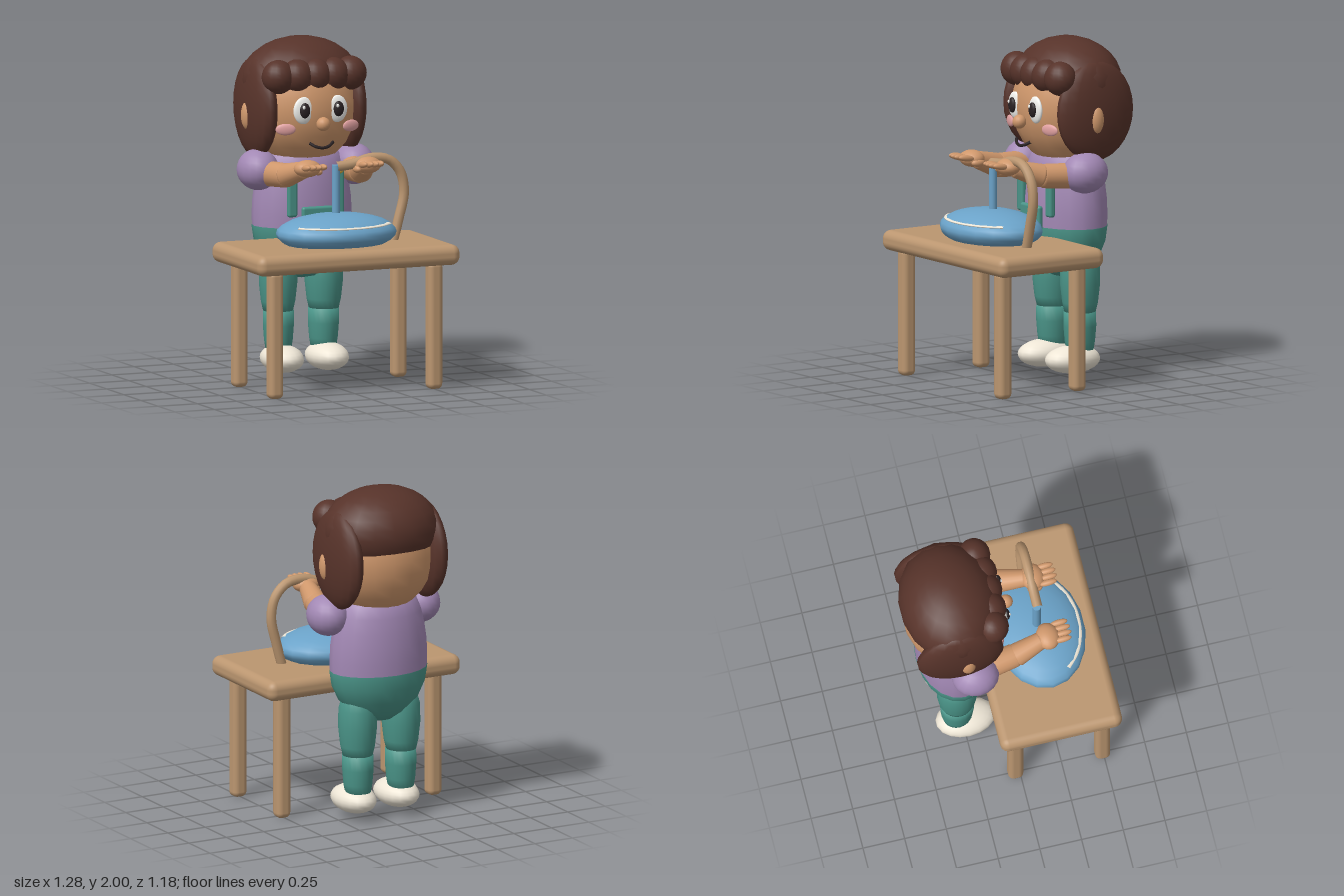
import * as THREE from 'three';
import { RoundedBoxGeometry } from 'three/addons/geometries/RoundedBoxGeometry.js';

const mat = (color, side = THREE.FrontSide) => new THREE.MeshStandardMaterial({ color, side });
const V = (x, y, z) => new THREE.Vector3(x, y, z);
const skin = mat(0xd0986c), hair = mat(0x57332a), shirt = mat(0xa288b4), trousers = mat(0x4a9488);
const blue = mat(0x6ba3c9), wood = mat(0xbb9670), cream = mat(0xeee6d6), white = mat(0xf2f2ee);
const dark = mat(0x2a2224), pink = mat(0xe0a0a0), gold = mat(0xd8b048);

export function createModel() {
  const root = new THREE.Group();
  root.name = 'childAtTable';

  const add = (name, geometry, material, pos = [0, 0, 0], parent = root) => {
    const m = new THREE.Mesh(geometry, material);
    m.name = name;
    m.position.set(...pos);
    parent.add(m);
    return m;
  };
  const ball = (name, material, pos, radii, parent) => {
    const m = add(name, new THREE.SphereGeometry(1, 18, 14), material, pos, parent);
    m.scale.set(...radii);
    return m;
  };
  const lathe = (name, material, points, pos, scale, parent) => {
    const g = new THREE.LatheGeometry(points.map(p => new THREE.Vector2(...p)), 20);
    const m = add(name, g, material, pos, parent);
    m.scale.set(...scale);
    return m;
  };
  const tube = (name, material, points, radius, parent) =>
    add(name, new THREE.TubeGeometry(new THREE.CatmullRomCurve3(points.map(p => V(...p))), 28, radius, 10),
      material, [0, 0, 0], parent);
  // Tapered limb whose rounded ends sit at points a and b
  const limb = (name, material, a, b, ra, rb, parent) => {
    const A = V(...a), dir = V(...b).sub(A), len = dir.length(), pts = [];
    for (let i = 0; i <= 4; i++) {
      const t = i / 4 * Math.PI / 2;
      pts.push([ra * Math.sin(t), -ra * 0.5 * Math.cos(t)]);
    }
    for (let i = 0; i <= 4; i++) {
      const t = i / 4 * Math.PI / 2;
      pts.push([rb * Math.cos(t), len + rb * 0.5 * Math.sin(t)]);
    }
    const m = lathe(name, material, pts, a, [1, 1, 1], parent);
    m.quaternion.setFromUnitVectors(V(0, 1, 0), dir.normalize());
    return m;
  };

  // Table
  add('tableTop', new RoundedBoxGeometry(1.285, 0.12, 0.73, 4, 0.05), wood, [0, 0.79, 0.225]);
  for (const x of [-0.505, 0.505])
    for (const z of [-0.028, 0.493])
      add('tableLeg', new RoundedBoxGeometry(0.09, 0.75, 0.09, 3, 0.032), wood, [x, 0.375, z]);

  // Blue cushion with its post, curved handle and pale trim
  ball('cushion', blue, [-0.003, 0.915, 0.235], [0.366, 0.115, 0.27]);
  add('post', new THREE.CylinderGeometry(0.024, 0.024, 0.36, 14), blue, [0, 1.13, 0.225]);
  tube('curvedHandle', wood, [[0.36, 0.84, 0.23], [0.395, 0.97, 0.23], [0.43, 1.13, 0.23],
    [0.405, 1.25, 0.23], [0.33, 1.325, 0.23], [0.22, 1.34, 0.23], [0.1, 1.31, 0.23], [0, 1.3, 0.23]], 0.029);
  const trim = tube('cushionTrim', cream, [[-0.28, 0, 0.335], [-0.2, 0, 0.405], [-0.1, 0, 0.447],
    [0, 0, 0.458], [0.1, 0, 0.447], [0.2, 0, 0.405], [0.28, 0, 0.335]], 0.025);
  trim.scale.y = 0.3;
  trim.position.y = 0.965;

  // Torso and clothing
  const body = new THREE.Group();
  body.name = 'body';
  root.add(body);
  lathe('shirt', shirt, [[0.3, 0.88], [0.303, 0.97], [0.298, 1.06], [0.285, 1.15], [0.265, 1.24],
    [0.235, 1.31], [0.17, 1.36], [0, 1.39]], [0, 0, -0.278], [1, 1, 0.735], body);
  lathe('trouserSeat', trousers, [[0, 0.58], [0.1, 0.597], [0.18, 0.645], [0.25, 0.725],
    [0.29, 0.81], [0.304, 0.9], [0.29, 0.905], [0, 0.905]], [0, 0, -0.278], [1, 1, 0.735], body);
  add('bib', new RoundedBoxGeometry(0.2, 0.14, 0.035, 3, 0.015), trousers, [0, 0.96, -0.045], body);

  // Head
  const head = new THREE.Group();
  head.name = 'head';
  root.add(head);
  ball('face', skin, [0, 1.6, -0.28], [0.34, 0.36, 0.3], head);
  ball('nose', skin, [0, 1.525, 0.04], [0.041, 0.041, 0.041], head);
  tube('mouth', dark, [[-0.075, 1.413, 0.01], [-0.04, 1.392, 0.03], [0, 1.385, 0.037],
    [0.04, 1.392, 0.03], [0.075, 1.413, 0.01]], 0.009, head);
  ball('hairCap', hair, [0, 1.75, -0.302], [0.36, 0.25, 0.293], head);
  for (let i = -2; i <= 2; i++)
    ball('fringeCurl', hair, [i * 0.114, 1.797, -0.078 - 0.004 * i * i], [0.098, 0.1, 0.094], head);

  // Paired parts
  for (const s of [-1, 1]) {
    const side = s > 0 ? 'left' : 'right';

    ball(side + 'HairLock', hair, [s * 0.282, 1.595, -0.302], [0.088, 0.295, 0.26], head);
    ball(side + 'Ear', skin, [s * 0.345, 1.557, -0.27], [0.04, 0.087, 0.046], head);
    ball(side + 'Eye', white, [s * 0.107, 1.605, -0.003], [0.064, 0.08, 0.022], head);
    ball(side + 'Pupil', dark, [s * 0.107, 1.607, 0.019], [0.032, 0.045, 0.018], head);
    ball(side + 'EyeGlint', white, [s * 0.107 - 0.012, 1.627, 0.034], [0.009, 0.011, 0.006], head);
    ball(side + 'Cheek', pink, [s * 0.207, 1.495, -0.035], [0.06, 0.034, 0.014], head).rotation.y = s * 0.3;

    add(side + 'Strap', new RoundedBoxGeometry(0.06, 0.29, 0.04, 3, 0.015), trousers, [s * 0.148, 1.115, -0.077], body);
    ball(side + 'Button', gold, [s * 0.148, 1.235, -0.052], [0.021, 0.021, 0.014], body);

    // Arm reaching forward over the cushion
    const arm = new THREE.Group();
    arm.name = side + 'Arm';
    root.add(arm);
    ball('sleeve', shirt, [s * 0.305, 1.242, -0.217], [0.121, 0.121, 0.14], arm);
    limb('upperArm', skin, [s * 0.265, 1.225, -0.15], [s * 0.235, 1.235, 0.03], 0.075, 0.071, arm);
    limb('forearm', skin, [s * 0.235, 1.24, 0.05], [s * 0.2, 1.287, 0.2], 0.07, 0.052, arm);
    ball('palm', skin, [s * 0.19, 1.302, 0.245], [0.082, 0.05, 0.07], arm);
    ball('thumb', skin, [s * 0.125, 1.283, 0.245], [0.025, 0.024, 0.045], arm);
    for (let i = 0; i < 4; i++)
      ball('finger', skin, [s * (0.128 + i * 0.035), 1.317, 0.325 + (i === 1 || i === 2 ? 0.008 : 0)],
        [0.019, 0.019, 0.053], arm).rotation.x = -0.15;

    // Leg and shoe
    const leg = new THREE.Group();
    leg.name = side + 'Leg';
    root.add(leg);
    lathe('thigh', trousers, [[0, 0.37], [0.085, 0.385], [0.1, 0.45], [0.112, 0.56], [0.11, 0.67],
      [0.085, 0.76], [0, 0.8]], [s * 0.145, 0, -0.288], [1, 1, 1.07], leg);
    lathe('shin', trousers, [[0, 0.12], [0.07, 0.14], [0.083, 0.22], [0.09, 0.31], [0.089, 0.395],
      [0, 0.42]], [s * 0.143, 0, -0.288], [1, 1, 1.1], leg);
    ball('shoe', cream, [s * 0.143, 0.117, -0.237], [0.119, 0.082, 0.178], leg);
  }
  return root;
}
